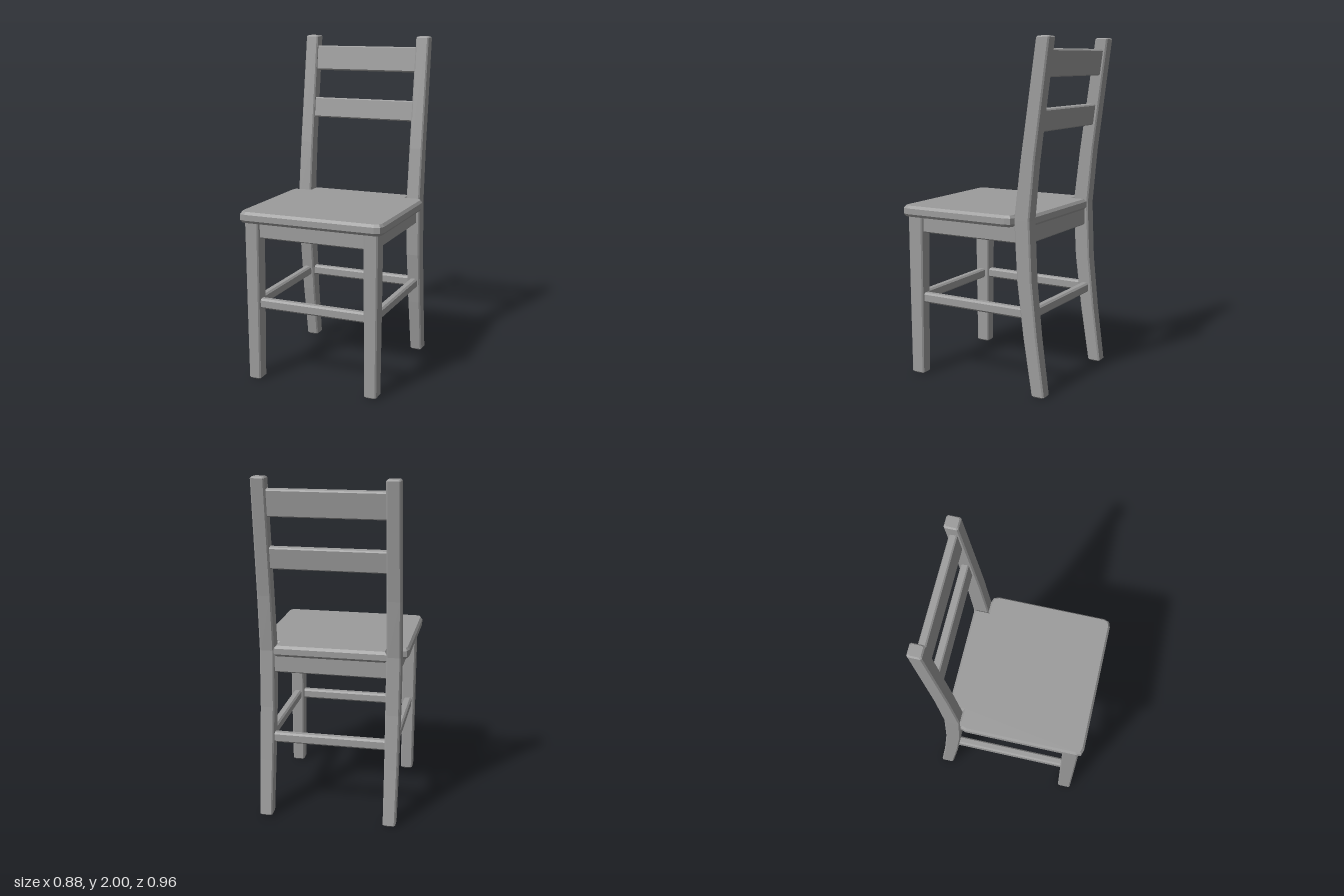
import * as THREE from 'three';

const material = new THREE.MeshStandardMaterial({ color: 0x9c9c9c, flatShading: true });

// Square bar with chamfered edges, lofted upward through sections [y, x, z, width, depth]
function loft(sections, c) {
  const pos = [], idx = [];
  for (const [y, x, z, w, d] of sections) {
    const a = w / 2, b = d / 2;
    const ring = [[a, -b + c], [a, b - c], [a - c, b], [-a + c, b],
      [-a, b - c], [-a, -b + c], [-a + c, -b], [a - c, -b]];
    for (const [px, pz] of ring) pos.push(x + px, y, z + pz);
  }
  const last = (sections.length - 1) * 8;
  for (let i = 0; i < last; i += 8) {
    for (let k = 0; k < 8; k++) {
      const n = (k + 1) % 8;
      idx.push(i + k, i + 8 + k, i + n, i + n, i + 8 + k, i + 8 + n);
    }
  }
  for (let k = 1; k < 7; k++) {
    idx.push(0, k, k + 1, last, last + k + 1, last + k);
  }
  const geo = new THREE.BufferGeometry();
  geo.setAttribute('position', new THREE.Float32BufferAttribute(pos, 3));
  geo.setIndex(idx);
  geo.computeVertexNormals();
  return geo;
}

// Adds a small chamfer at both ends of a run of sections
function chamferEnds(sections, c) {
  const first = sections[0], last = sections[sections.length - 1];
  const inset = ([y, x, z, w, d]) => [y, x, z, w - 2 * c, d - 2 * c];
  const shift = ([y, ...rest], dy) => [y + dy, ...rest];
  return [inset(first), shift(first, c), ...sections.slice(1, -1), shift(last, -c), inset(last)];
}

export function createModel() {
  const chair = new THREE.Group();
  chair.name = 'chair';
  const add = (name, geo, x = 0, y = 0, z = 0, tilt = 0) => {
    const mesh = new THREE.Mesh(geo, material);
    mesh.name = name;
    mesh.position.set(x, y, z);
    mesh.rotation.x = tilt;
    chair.add(mesh);
  };
  // Rails running across (x) or front to back (z)
  const crossRail = (length, height, depth, c = 0.007) =>
    loft([[-length / 2, 0, 0, height, depth], [length / 2, 0, 0, height, depth]], c).rotateZ(Math.PI / 2);
  const sideRail = (length, height, width, c = 0.007) =>
    loft([[-length / 2, 0, 0, width, height], [length / 2, 0, 0, width, height]], c).rotateX(Math.PI / 2);

  // Seat: clipped corners, with a tongue reaching back between the rear posts
  const r = 0.045, hw = 0.441, front = -0.477, back = 0.272, tongue = 0.327;
  const outline = new THREE.Shape();
  outline.moveTo(-hw + r, front);
  outline.lineTo(hw - r, front);
  outline.quadraticCurveTo(hw, front, hw, front + r);
  outline.lineTo(hw, back - r);
  outline.quadraticCurveTo(hw, back, hw - r, back);
  outline.lineTo(tongue, back);
  outline.lineTo(tongue, 0.36);
  outline.lineTo(-tongue, 0.36);
  outline.lineTo(-tongue, back);
  outline.lineTo(-hw + r, back);
  outline.quadraticCurveTo(-hw, back, -hw, back - r);
  outline.lineTo(-hw, front + r);
  outline.quadraticCurveTo(-hw, front, -hw + r, front);
  const seat = new THREE.ExtrudeGeometry(outline, {
    depth: 0.034, bevelThickness: 0.016, bevelSize: 0.012, bevelOffset: -0.012,
    bevelSegments: 1, curveSegments: 2,
  });
  seat.rotateX(-Math.PI / 2);
  add('seat', seat, 0, 0.978, 0);

  // Legs, posts and side rails, mirrored left and right
  for (const s of [1, -1]) {
    const side = s > 0 ? 'left' : 'right';
    add(side + 'FrontLeg', loft(chamferEnds([
      [0, s * 0.368, 0.402, 0.074, 0.083],
      [0.5, s * 0.368, 0.402, 0.08, 0.092],
      [0.975, s * 0.368, 0.402, 0.085, 0.098],
    ], 0.008), 0.008));
    // Rear leg and back post in one bent piece
    add(side + 'BackPost', loft(chamferEnds([
      [0, s * 0.368, -0.421, 0.074, 0.079],
      [0.34, s * 0.368, -0.372, 0.079, 0.086],
      [0.66, s * 0.367, -0.335, 0.083, 0.092],
      [1.0, s * 0.367, -0.318, 0.084, 0.096],
      [1.33, s * 0.367, -0.352, 0.082, 0.087],
      [2, s * 0.366, -0.44, 0.079, 0.08],
    ], 0.008), 0.008));
    add(side + 'Apron', sideRail(0.72, 0.11, 0.045), s * 0.367, 0.922, 0.045);
    add(side + 'Stretcher', sideRail(0.75, 0.06, 0.048, 0.01), s * 0.367, 0.471, 0.025);
  }

  // Front and back rails under the seat
  add('frontApron', crossRail(0.7, 0.11, 0.045), 0, 0.922, 0.402);
  add('backApron', crossRail(0.7, 0.11, 0.045), 0, 0.922, -0.327);
  add('frontStretcher', crossRail(0.7, 0.06, 0.048, 0.01), 0, 0.471, 0.402);
  add('backStretcher', crossRail(0.7, 0.06, 0.048, 0.01), 0, 0.471, -0.356);

  // Leaning back slats
  add('lowerSlat', crossRail(0.7, 0.125, 0.046), 0, 1.548, -0.38, -0.128);
  add('upperSlat', crossRail(0.7, 0.152, 0.046), 0, 1.858, -0.422, -0.128);

  return chair;
}
